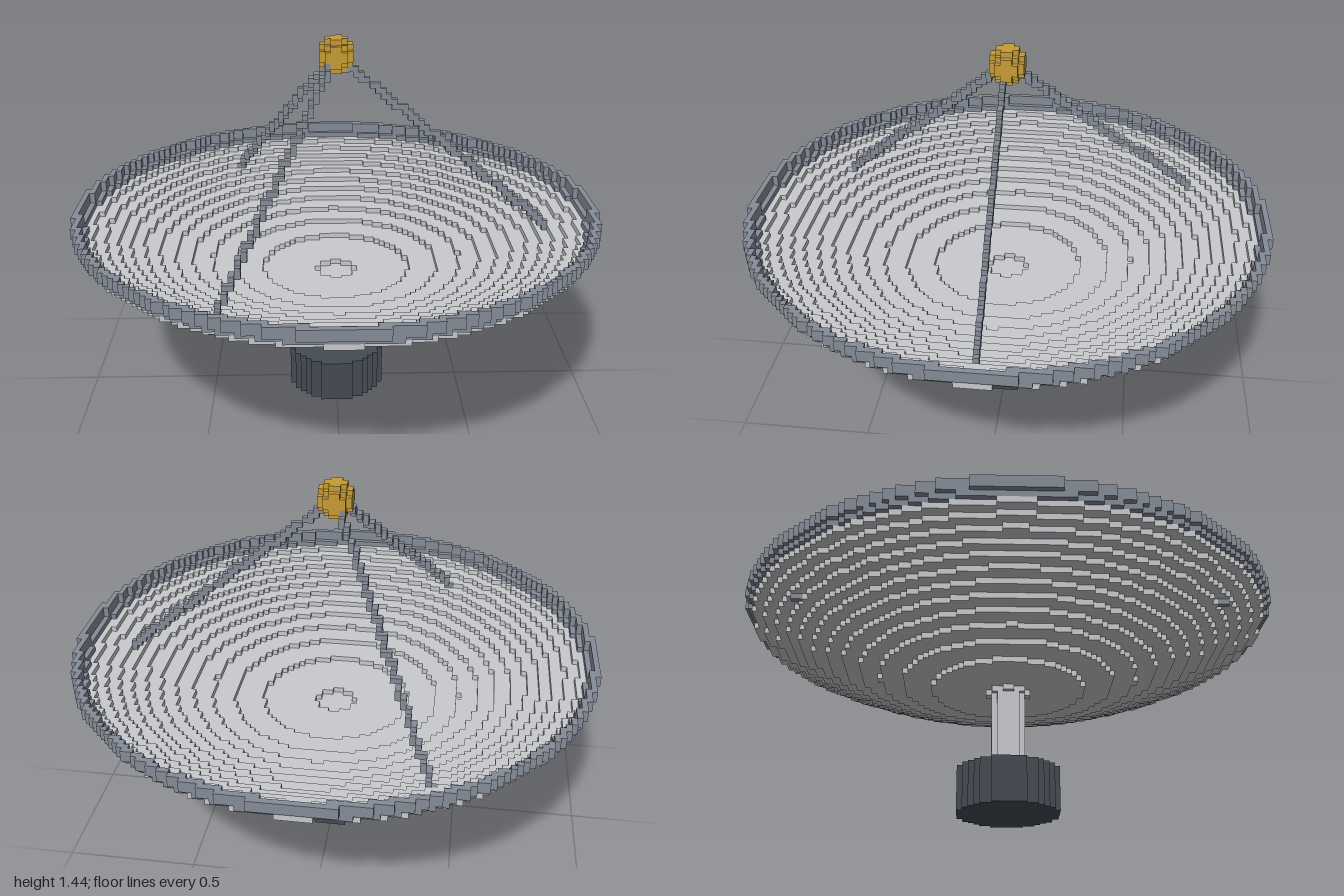
import * as THREE from 'three';

const HALF = 48;            // cells from the centre to the widest edge
const CELL = 1 / HALF;      // edge of one cube

const flat = (name, color) => {
  const m = new THREE.MeshStandardMaterial({ color });
  m.name = name;
  return m;
};

// The six cube faces: outward normal n and in-plane axes u, v with u x v = n
const FACES = [];
for (let a = 0; a < 3; a++) {
  for (const s of [1, -1]) {
    const n = [0, 0, 0], u = [0, 0, 0], v = [0, 0, 0];
    n[a] = s;
    u[(a + (s > 0 ? 1 : 2)) % 3] = 1;
    v[(a + (s > 0 ? 2 : 1)) % 3] = 1;
    FACES.push({ n, u, v });
  }
}

const key = (x, y, z) => `${x},${y},${z}`;

export function createModel() {
  const group = new THREE.Group();
  group.name = 'dishAntenna';

  const panel = flat('light grey', 0xc9cacd);
  const frame = flat('slate grey', 0x858c98);
  const dark = flat('charcoal', 0x454b53);
  const gold = flat('gold', 0xc69c35);

  const filled = new Set();
  const parts = [];

  function part(name, material) {
    const cells = [];
    parts.push({ name, material, cells });
    return (x, y, z) => {
      const k = key(x, y, z);
      if (filled.has(k)) return;
      filled.add(k);
      cells.push([x, y, z]);
    };
  }

  // Visit every column of cells whose centre lies in a ring
  function ring(inner, outer, visit) {
    for (let x = -HALF; x < HALF; x++) {
      for (let z = -HALF; z < HALF; z++) {
        const r = Math.hypot(x + 0.5, z + 0.5);
        if (r >= inner && r <= outer) visit(x, z, r);
      }
    }
  }

  function drum(add, inner, outer, y0, y1) {
    ring(inner, outer, (x, z) => {
      for (let y = y0; y < y1; y++) add(x, y, z);
    });
  }

  // Foot and column
  drum(part('base', dark), 0, 9, 0, 8);
  drum(part('column', panel), 0, 3, 8, 22);

  // Raised rim, stepping outward above its lowest row
  const rim = part('rim', frame);
  drum(rim, 45.9, 47.3, 35, 36);
  drum(rim, 46.8, 48.05, 36, 38);

  // Feed ball above the bowl
  const feed = part('feed', gold);
  ring(0, 3, (x, z, r) => {
    for (let y = 63; y < 69; y++) {
      if (Math.hypot(r, y + 0.5 - 66) <= 3) feed(x, y, z);
    }
  });

  // Thin parabolic bowl
  const bowl = part('dish', panel);
  ring(0, 47, (x, z, r) => {
    const y = 0.4775 + 0.267 * (r * CELL) ** 2;
    bowl(x, Math.floor(y / CELL), z);
  });

  // Three struts from the bowl to the feed
  for (let i = 0; i < 3; i++) {
    const strut = part('strut' + (i + 1), frame);
    const angle = (i * Math.PI * 2) / 3;
    for (let t = 0; t <= 1; t += 0.002) {
      const r = 0.868 * (1 - t);
      const y = 0.658 + 0.717 * t;
      strut(
        Math.floor((r * Math.cos(angle)) / CELL),
        Math.floor(y / CELL),
        Math.floor((r * Math.sin(angle) + 0.001) / CELL)
      );
    }
  }

  // Turn each part into a mesh of its exposed cube faces
  for (const { name, material, cells } of parts) {
    const positions = [], normals = [], index = [];
    for (const c of cells) {
      for (const { n, u, v } of FACES) {
        if (filled.has(key(c[0] + n[0], c[1] + n[1], c[2] + n[2]))) continue;
        const first = positions.length / 3;
        for (const [p, q] of [[0, 0], [1, 0], [1, 1], [0, 1]]) {
          for (let a = 0; a < 3; a++) {
            positions.push((c[a] + Math.max(n[a], 0) + p * u[a] + q * v[a]) * CELL);
          }
          normals.push(...n);
        }
        index.push(first, first + 1, first + 2, first, first + 2, first + 3);
      }
    }
    const geometry = new THREE.BufferGeometry();
    geometry.setAttribute('position', new THREE.Float32BufferAttribute(positions, 3));
    geometry.setAttribute('normal', new THREE.Float32BufferAttribute(normals, 3));
    geometry.setIndex(index);
    const mesh = new THREE.Mesh(geometry, material);
    mesh.name = name;
    group.add(mesh);
  }
  return group;
}
